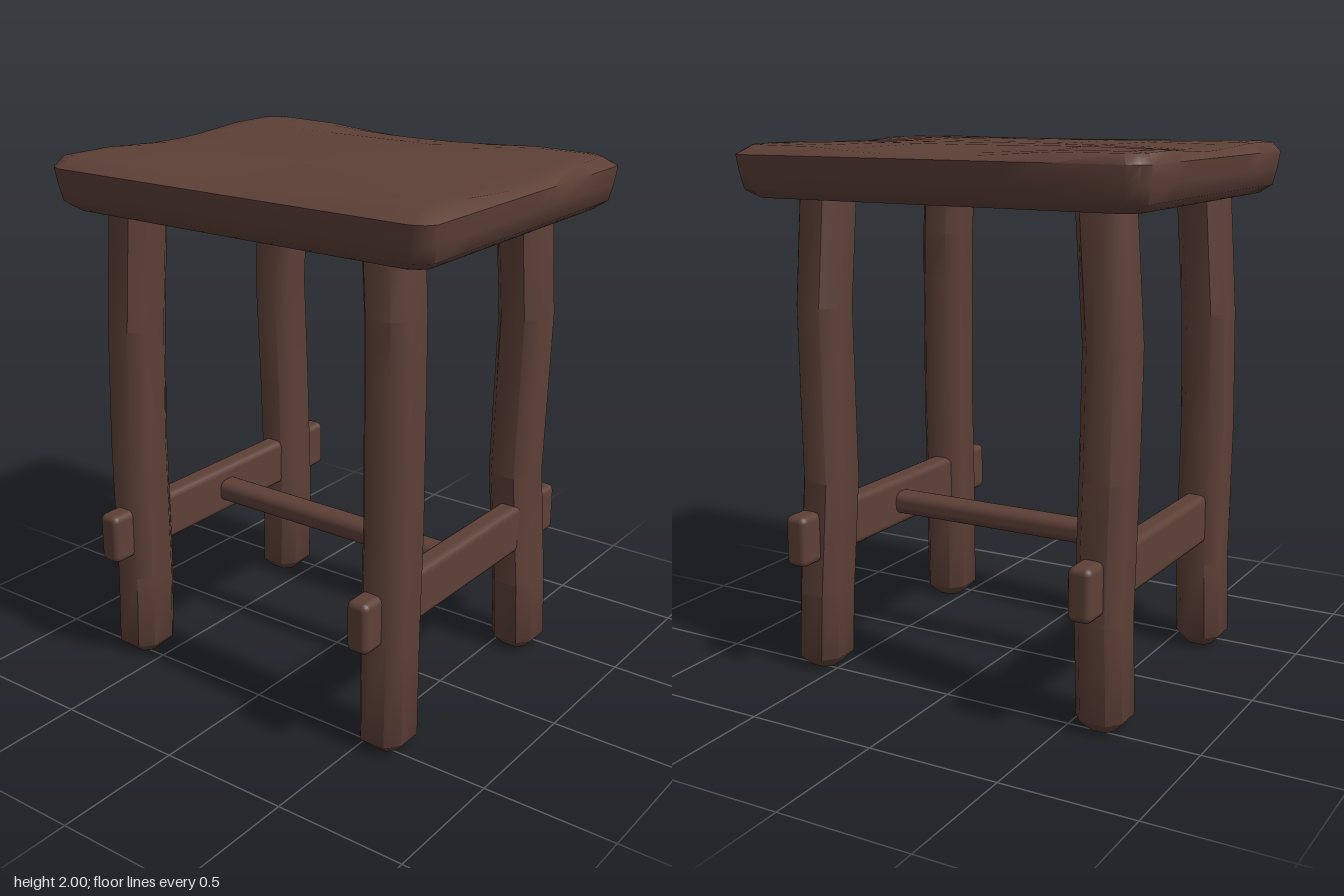
import * as THREE from 'three';
import { mergeVertices, toCreasedNormals } from 'three/addons/utils/BufferGeometryUtils.js';
import { RoundedBoxGeometry } from 'three/addons/geometries/RoundedBoxGeometry.js';

const wood = new THREE.MeshStandardMaterial({ color: 0x5d4037 });

function addMesh(group, name, geometry, x = 0, y = 0, z = 0) {
  const mesh = new THREE.Mesh(geometry, wood);
  mesh.name = name;
  mesh.position.set(x, y, z);
  group.add(mesh);
}

// Slab with irregular hand-cut bevels and worn-down edges
function seatGeometry() {
  const box = new THREE.BoxGeometry(2, 2, 2, 10, 4, 10);
  box.deleteAttribute('uv');
  box.deleteAttribute('normal');
  const geo = mergeVertices(box);
  const p = geo.attributes.position;
  const heights = [1.8, 1.83, 1.89, 1.955, 2];
  const insets = [0.06, 0.02, 0.008, 0, 0.035];
  // Pull the second-to-last grid line close to the edge
  const tighten = t => (Math.abs(Math.abs(t) - 0.8) < 0.01 ? Math.sign(t) * 0.92 : t);
  for (let i = 0; i < p.count; i++) {
    let u = tighten(p.getX(i)), w = tighten(p.getZ(i));
    const level = Math.round((p.getY(i) + 1) * 2);
    const atX = Math.abs(u) > 0.99, atZ = Math.abs(w) > 0.99;
    if (atX && atZ) { u *= 0.972; w *= 0.968; }
    const wobble = level === 4 ? 0.012 * Math.sin(5 * u + 3 * w) : 0;
    const inset = insets[level] + wobble;
    let y = heights[level];
    if (level === 4) {
      const alongX = Math.cos(u * Math.PI / 2) ** 2, alongZ = Math.cos(w * Math.PI / 2) ** 2;
      y -= 0.035 * w ** 4 * alongX + 0.025 * u ** 4 * alongZ + 0.02 * u ** 8 * w ** 8;
    }
    const frontCut = level === 4 && w > 0.99 ? 0.02 : 0;
    p.setXYZ(i, u * (0.82 - inset), y, w * (0.648 - inset - frontCut) + 0.004);
  }
  return toCreasedNormals(geo, 0.9);
}

// Chamfered-square post lofted through rings of [y, centre x, centre z]
function postGeometry(path, halfX, halfZ) {
  const outline = [[1, 0.5], [0.55, 1], [-0.55, 1], [-1, 0.5], [-1, -0.5], [-0.55, -1], [0.55, -1], [1, -0.5]];
  const n = outline.length, pos = [], idx = [];
  path.forEach(([y, cx, cz], r) => {
    const s = r === 0 ? 0.55 : 1;
    for (const [a, b] of outline) pos.push(cx + a * halfX * s, y, cz + b * halfZ * s);
  });
  const last = path.length - 1;
  for (let r = 0; r < last; r++) {
    for (let k = 0; k < n; k++) {
      const a = r * n + k, b = r * n + (k + 1) % n;
      idx.push(a, a + n, b, b, a + n, b + n);
    }
  }
  // End caps
  for (let k = 1; k < n - 1; k++) {
    idx.push(0, k, k + 1, last * n, last * n + k + 1, last * n + k);
  }
  const geo = new THREE.BufferGeometry();
  geo.setAttribute('position', new THREE.Float32BufferAttribute(pos, 3));
  geo.setIndex(idx);
  return toCreasedNormals(geo, 0.9);
}

export function createModel() {
  const stool = new THREE.Group();
  stool.name = 'stool';

  addMesh(stool, 'seat', seatGeometry());

  // Four slightly crooked legs
  const legs = {
    frontLeftLeg: [[0, 0.578, 0.465], [0.045, 0.578, 0.467], [0.45, 0.578, 0.465], [0.85, 0.582, 0.46], [1.4, 0.57, 0.445], [1.6, 0.565, 0.44], [1.86, 0.545, 0.43]],
    backLeftLeg: [[0, 0.578, -0.46], [0.045, 0.578, -0.46], [0.3, 0.57, -0.455], [0.75, 0.533, -0.46], [1.4, 0.565, -0.43], [1.86, 0.545, -0.41]],
    frontRightLeg: [[0, -0.615, 0.465], [0.045, -0.615, 0.467], [0.35, -0.605, 0.465], [0.9, -0.615, 0.455], [1.35, -0.612, 0.44], [1.86, -0.58, 0.43]],
    backRightLeg: [[0, -0.62, -0.45], [0.045, -0.62, -0.45], [0.4, -0.61, -0.45], [0.9, -0.625, -0.455], [1.35, -0.62, -0.43], [1.86, -0.575, -0.41]],
  };
  for (const [name, path] of Object.entries(legs)) {
    addMesh(stool, name, postGeometry(path, 0.09, 0.102));
  }

  // Side rails pass through the legs and end in tenons
  for (const [name, x] of [['leftRail', 0.565], ['rightRail', -0.61]]) {
    addMesh(stool, name, new RoundedBoxGeometry(0.09, 0.195, 1.31, 2, 0.025), x, 0.54, 0);
  }

  // Stretcher joining the rails
  addMesh(stool, 'stretcher', new RoundedBoxGeometry(1.16, 0.09, 0.1, 3, 0.035), -0.022, 0.54, 0);

  return stool;
}
